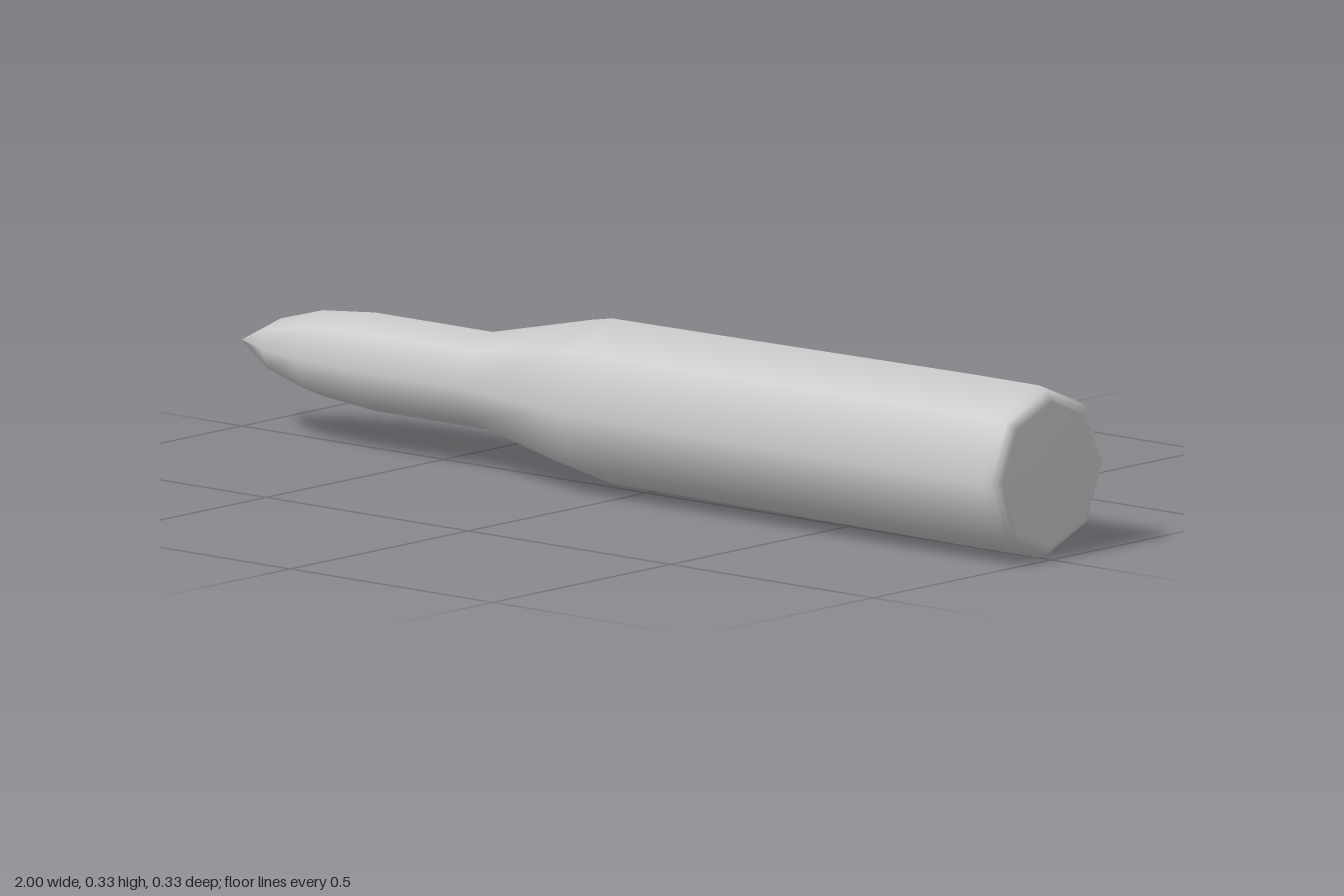
import * as THREE from 'three';

const SIDES = 8;
const AXIS_HEIGHT = 0.164;

// Outline from tip to base: [position along x, radius]
const PROFILE = [
  // pointed nose
  [-1, 0], [-0.905, 0.052], [-0.8, 0.081], [-0.67, 0.093],
  // straight neck
  [-0.38, 0.093],
  // sloping shoulder
  [-0.135, 0.147], [-0.085, 0.156],
  // slightly tapered case body
  [0.22, 0.158], [0.79, 0.163],
  // rounded rim and flat base
  [0.97, 0.163], [0.988, 0.156], [0.996, 0.148], [1, 0.135], [1, 0],
];

export function createModel() {
  const group = new THREE.Group();
  group.name = 'cartridge';

  // Turned about y, then laid along x with the nose at -x
  const points = PROFILE.map(([x, r]) => new THREE.Vector2(r, x));
  const geometry = new THREE.LatheGeometry(points, SIDES);
  geometry.rotateZ(-Math.PI / 2);

  const body = new THREE.Mesh(geometry, new THREE.MeshStandardMaterial({ color: 0xcccccc }));
  body.name = 'bulletAndCase';
  body.position.y = AXIS_HEIGHT;
  group.add(body);
  return group;
}
